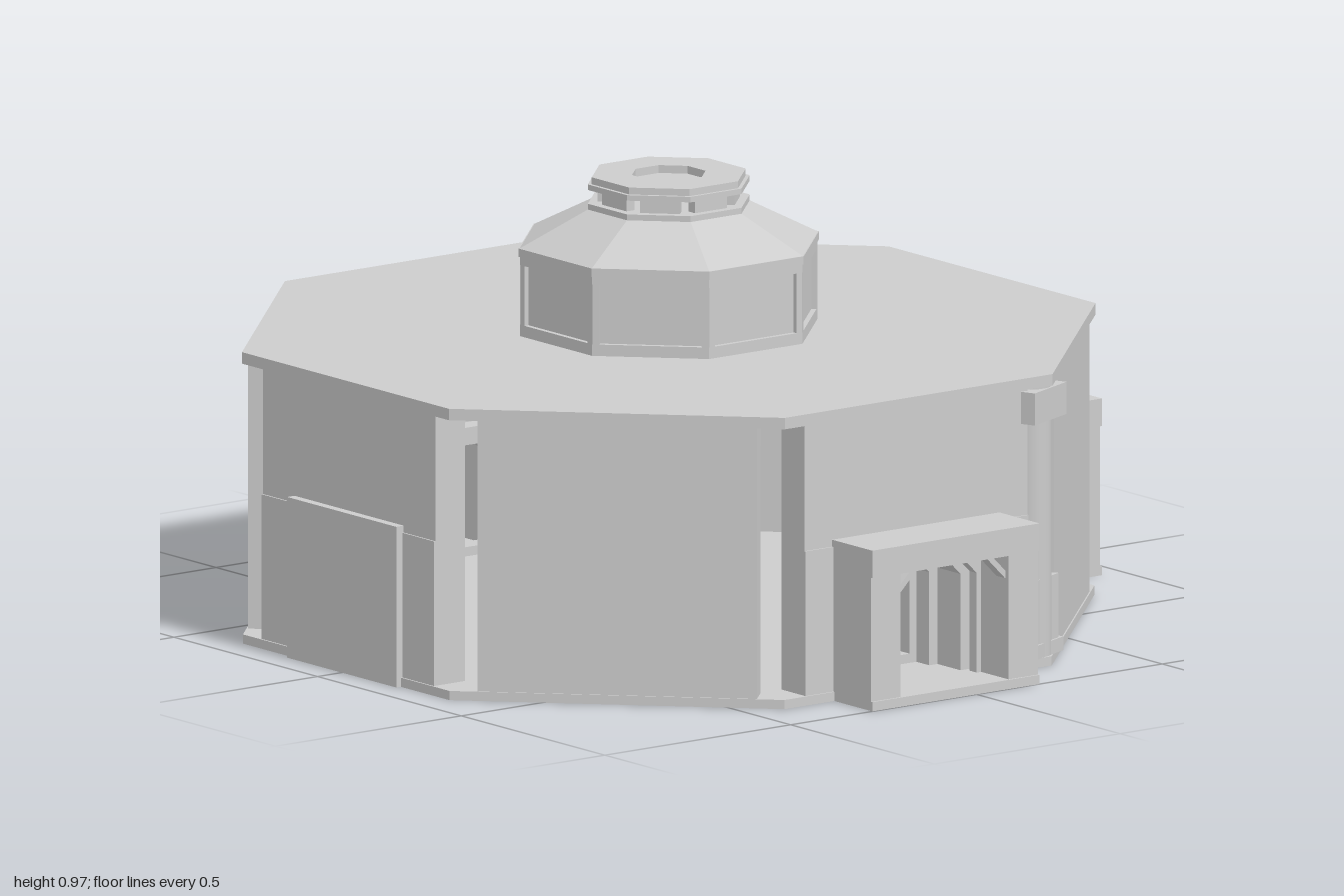
import * as THREE from 'three';
import { toCreasedNormals } from 'three/addons/utils/BufferGeometryUtils.js';

export function createModel() {
  const stone = new THREE.MeshStandardMaterial({ color: 0xcccccc });
  stone.name = 'light grey';

  const model = new THREE.Group();
  model.name = 'octagonalPavilion';
  const hall = new THREE.Group();
  hall.name = 'hall';
  hall.position.z = 0.055;
  model.add(hall);

  const COS = Math.cos(Math.PI / 8);
  const FLOOR = 0.02, CEIL = 0.61;

  function add(parent, name, geo) {
    const m = new THREE.Mesh(geo, stone);
    m.name = name;
    parent.add(m);
    return m;
  }
  // box given by its extents
  function box(parent, name, x0, x1, y0, y1, z0, z1) {
    const m = add(parent, name, new THREE.BoxGeometry(x1 - x0, y1 - y0, z1 - z0));
    m.position.set((x0 + x1) / 2, (y0 + y1) / 2, (z0 + z1) / 2);
    return m;
  }
  // group turned so that its local +z faces outward
  function side(name, angle) {
    const g = new THREE.Group();
    g.name = name;
    g.rotation.y = angle;
    hall.add(g);
    return g;
  }
  // eight-sided solid, sized by the distance to its flats
  function octagon(name, bottom, top, y0, y1) {
    const geo = new THREE.CylinderGeometry(top / COS, bottom / COS, y1 - y0, 8);
    geo.rotateY(Math.PI / 8);
    add(hall, name, toCreasedNormals(geo, 0.3)).position.y = (y0 + y1) / 2;
  }
  function octPoints(a) {
    return Array.from({ length: 8 }, (_, i) => {
      const t = Math.PI / 8 + i * Math.PI / 4;
      return new THREE.Vector2(Math.cos(t) * a / COS, Math.sin(t) * a / COS);
    });
  }
  function octRing(name, outer, inner, y0, y1) {
    const shape = new THREE.Shape(octPoints(outer));
    shape.holes.push(new THREE.Path(octPoints(inner)));
    const geo = new THREE.ExtrudeGeometry(shape, { depth: y1 - y0, bevelEnabled: false });
    geo.rotateX(-Math.PI / 2);
    add(hall, name, geo).position.y = y0;
  }
  // slab with a doorway whose upper corners are cut off
  function arch(parent, name, half, top, open, openTop, z0, z1, cut = 0.045) {
    const pts = [[-half, FLOOR], [-open, FLOOR], [-open, openTop - cut], [-open + cut, openTop],
      [open - cut, openTop], [open, openTop - cut], [open, FLOOR], [half, FLOOR], [half, top], [-half, top]];
    const shape = new THREE.Shape(pts.map(p => new THREE.Vector2(...p)));
    const geo = new THREE.ExtrudeGeometry(shape, { depth: z1 - z0, bevelEnabled: false });
    add(parent, name, geo).position.z = z0;
  }

  // floor and flat roof
  octagon('floor', 0.868, 0.868, 0, FLOOR);
  octagon('roof', 0.87, 0.87, CEIL, 0.635);

  // diagonal wall slabs with small braces at both ends
  for (let k = 0; k < 4; k++) {
    const g = side('diagonalWall', Math.PI / 4 + k * Math.PI / 2);
    box(g, 'wallPanel', -0.3, 0.3, FLOOR, CEIL, 0.808, 0.865);
    for (const s of [-1, 1]) {
      const wedge = new THREE.Shape([[0, 0], [0.06, 0], [0.02, 0.14], [0, 0.14]].map(p => new THREE.Vector2(...p)));
      const geo = new THREE.ExtrudeGeometry(wedge, { depth: 0.03, bevelEnabled: false });
      geo.rotateY(Math.PI / 2);
      const foot = add(g, 'footBrace', geo);
      foot.position.set(s * 0.27 - 0.015, FLOOR, 0.81);
      box(g, 'topBrace', s * 0.28 - 0.015, s * 0.28 + 0.015, 0.55, CEIL, 0.76, 0.81);
    }
  }

  // front wall with a closed door
  const front = side('frontWall', 0);
  box(front, 'wall', -0.3, 0.3, FLOOR, CEIL, 0.78, 0.86);
  box(front, 'lowerCladding', -0.3, 0.3, FLOOR, 0.335, 0.86, 0.864);
  box(front, 'door', -0.19, 0.19, 0, 0.35, 0.86, 0.88);

  // walls with projecting porches
  const porches = [
    { name: 'leftSide', angle: Math.PI / 2, half: 0.225, top: 0.35, open: 0.145, shift: 0 },
    { name: 'backSide', angle: Math.PI, half: 0.215, top: 0.385, open: 0.145, shift: 0 },
    { name: 'rightSide', angle: -Math.PI / 2, half: 0.172, top: 0.35, open: 0.125, shift: 0 },
  ];
  for (const p of porches) {
    const g = side(p.name, p.angle);
    const under = p.top - 0.06;
    arch(g, 'wall', 0.3, CEIL, p.open - 0.025, under - 0.015, 0.78, 0.86);
    for (const s of [-1, 1]) {
      const a = s * p.half, b = s * 0.3, c = s * p.open;
      box(g, 'lowerCladding', Math.min(a, b), Math.max(a, b), FLOOR, 0.335, 0.86, 0.864);
      box(g, 'porchPost', Math.min(a, c), Math.max(a, c), FLOOR, under, 0.86, 0.995);
      // slanted bracket under the lintel
      const brace = box(g, 'porchBracket', -0.035, 0.035, -0.006, 0.006, 0.955, 0.985);
      brace.position.x = s * (p.open - 0.022);
      brace.position.y = under - 0.022;
      brace.rotation.z = -s * Math.PI / 4;
    }
    box(g, 'porchLintel', -p.half, p.half, under, p.top, 0.86, 1);
    box(g, 'porchFloor', -p.half, p.half, 0, FLOOR, 0.84, 1);
    // nested inner frames
    arch(g, 'innerFrame', p.open, under, p.open - 0.012, under - 0.008, 0.875, 0.9);
    arch(g, 'innerFrame', 0.16, under + 0.02, 0.098, under - 0.022, 0.735, 0.78);
    arch(g, 'innerFrame', 0.14, under + 0.01, 0.08, under - 0.028, 0.69, 0.735);
    box(g, 'threshold', -0.08, 0.08, FLOOR, 0.04, 0.69, 0.735);
  }

  // corner pipe with collars
  const pipe = side('cornerPipe', Math.PI * 5 / 8);
  add(pipe, 'pipe', new THREE.CylinderGeometry(0.047, 0.047, CEIL - FLOOR, 20))
    .position.set(0, (CEIL + FLOOR) / 2, 0.885);
  box(pipe, 'topCollar', -0.068, 0.068, 0.535, 0.605, 0.845, 0.937);
  box(pipe, 'bottomCollar', -0.068, 0.068, FLOOR, 0.05, 0.845, 0.93);
  box(pipe, 'bottomCollar', -0.055, 0.055, 0.05, 0.19, 0.845, 0.925);

  // cupola drum, framed on each face
  octagon('drum', 0.292, 0.292, 0.635, 0.81);
  octRing('drumSill', 0.303, 0.285, 0.635, 0.66);
  octRing('drumHead', 0.303, 0.285, 0.79, 0.81);
  octagon('cupolaEave', 0.306, 0.306, 0.808, 0.826);
  octagon('cupolaRoof', 0.304, 0.16, 0.826, 0.905);
  octRing('neckSill', 0.165, 0.11, 0.9, 0.915);
  for (let k = 0; k < 8; k++) {
    const g = side('cupolaFace', k * Math.PI / 4);
    for (const s of [-1, 1]) {
      box(g, 'drumPost', s * 0.118 - 0.008, s * 0.118 + 0.008, 0.66, 0.79, 0.28, 0.303);
    }
    box(g, 'neckPanel', -0.043, 0.043, 0.91, 0.95, 0.125, 0.147);
  }

  // cap ring with a sunken centre
  octRing('capRing', 0.165, 0.075, 0.945, 0.957);
  octRing('capTop', 0.157, 0.075, 0.957, 0.972);
  octagon('capCentre', 0.08, 0.08, 0.945, 0.955);

  return model;
}
